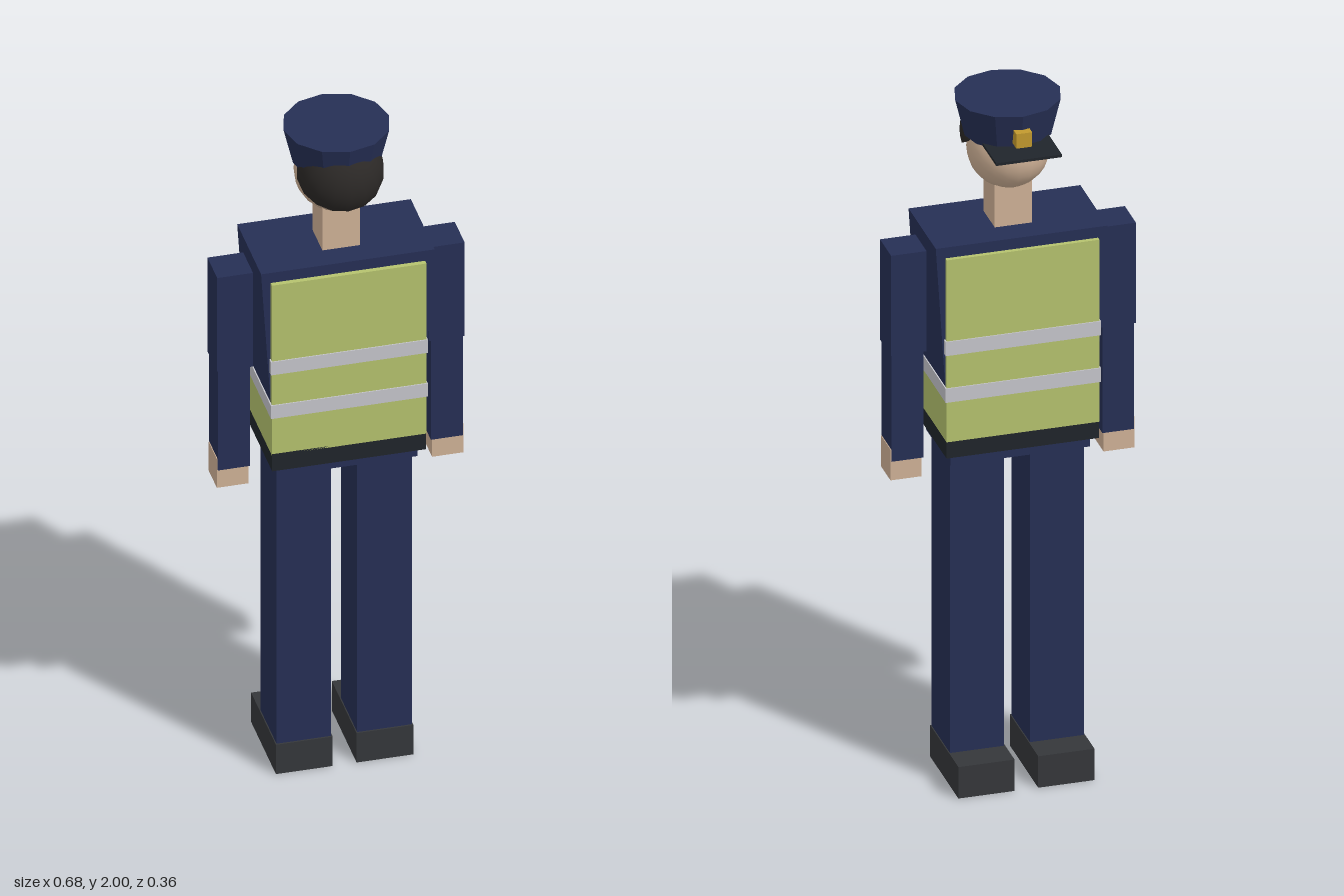
import * as THREE from 'three';

const paint = (color, flatShading = true) =>
  new THREE.MeshStandardMaterial({ color, flatShading, side: THREE.DoubleSide });

export function createModel() {
  const group = new THREE.Group();
  const navy = paint(0x262f55), skin = paint(0xd0b297), lime = paint(0xb5c26e);
  const silver = paint(0xc6c6cc), black = paint(0x20252b), shoe = paint(0x35373a), gold = paint(0xc29a2e);

  const add = (name, geometry, material) => {
    const mesh = new THREE.Mesh(geometry, material);
    mesh.name = name;
    group.add(mesh);
    return mesh;
  };
  // Box given by its limits on each axis
  const box = (name, material, [x0, x1], [y0, y1], [z0, z1]) => {
    const mesh = add(name, new THREE.BoxGeometry(x1 - x0, y1 - y0, z1 - z0), material);
    mesh.position.set((x0 + x1) / 2, (y0 + y1) / 2, (z0 + z1) / 2);
    return mesh;
  };
  // The same box on either side of the body
  const pair = (name, material, [x0, x1], y, z) => {
    box('left' + name, material, [x0, x1], y, z);
    box('right' + name, material, [-x1, -x0], y, z);
  };

  // Legs and shoes
  pair('Shoe', shoe, [0.033, 0.19], [0, 0.094], [-0.155, 0.107]);
  pair('Leg', navy, [0.036, 0.187], [0.09, 0.98], [-0.068, 0.102]);
  box('hips', navy, [-0.195, 0.195], [0.97, 1.02], [-0.096, 0.13]);

  // Torso narrows from the shoulders to the waist
  const torso = box('torso', navy, [-0.24, 0.24], [1, 1.632], [-0.111, 0.141]);
  const pos = torso.geometry.attributes.position;
  for (let i = 0; i < pos.count; i++) if (pos.getY(i) < 0) pos.setX(i, pos.getX(i) * 0.833);
  torso.geometry.computeVertexNormals();

  // Belt, safety vest and its reflective bands
  box('belt', black, [-0.213, 0.213], [1.005, 1.06], [-0.121, 0.155]);
  box('vest', lime, [-0.2135, 0.2135], [1.055, 1.6], [-0.124, 0.155]);
  for (const y of [1.175, 1.315])
    box('reflectiveBand', silver, [-0.217, 0.217], [y, y + 0.042], [-0.127, 0.158]);

  // Arms and hands
  pair('UpperArm', navy, [0.243, 0.342], [1.29, 1.59], [-0.036, 0.067]);
  pair('Forearm', navy, [0.25, 0.339], [0.97, 1.3], [-0.03, 0.063]);
  pair('Hand', skin, [0.254, 0.341], [0.913, 1.005], [-0.027, 0.06]);

  // Neck and head
  box('neck', skin, [-0.052, 0.052], [1.6, 1.79], [-0.034, 0.07]);
  add('head', new THREE.SphereGeometry(0.113, 20, 14), paint(0xd0b297, false)).position.set(0, 1.848, 0.012);

  // Hair shell tilted to the back of the head
  const hair = add('hair', new THREE.SphereGeometry(0.118, 16, 10, 0, Math.PI * 2, 0, 1.75), paint(0x2b2826, false));
  hair.position.set(0, 1.875, 0.06);
  hair.rotation.x = 0.5;

  // Cap with visor and badge, facing -z
  add('cap', new THREE.CylinderGeometry(0.146, 0.12, 0.108, 12), navy).position.set(0, 1.946, 0.02);
  box('visor', black, [-0.092, 0.092], [1.892, 1.9], [-0.18, -0.05]);
  box('badge', gold, [-0.022, 0.022], [1.912, 1.955], [-0.135, -0.1]);

  return group;
}
